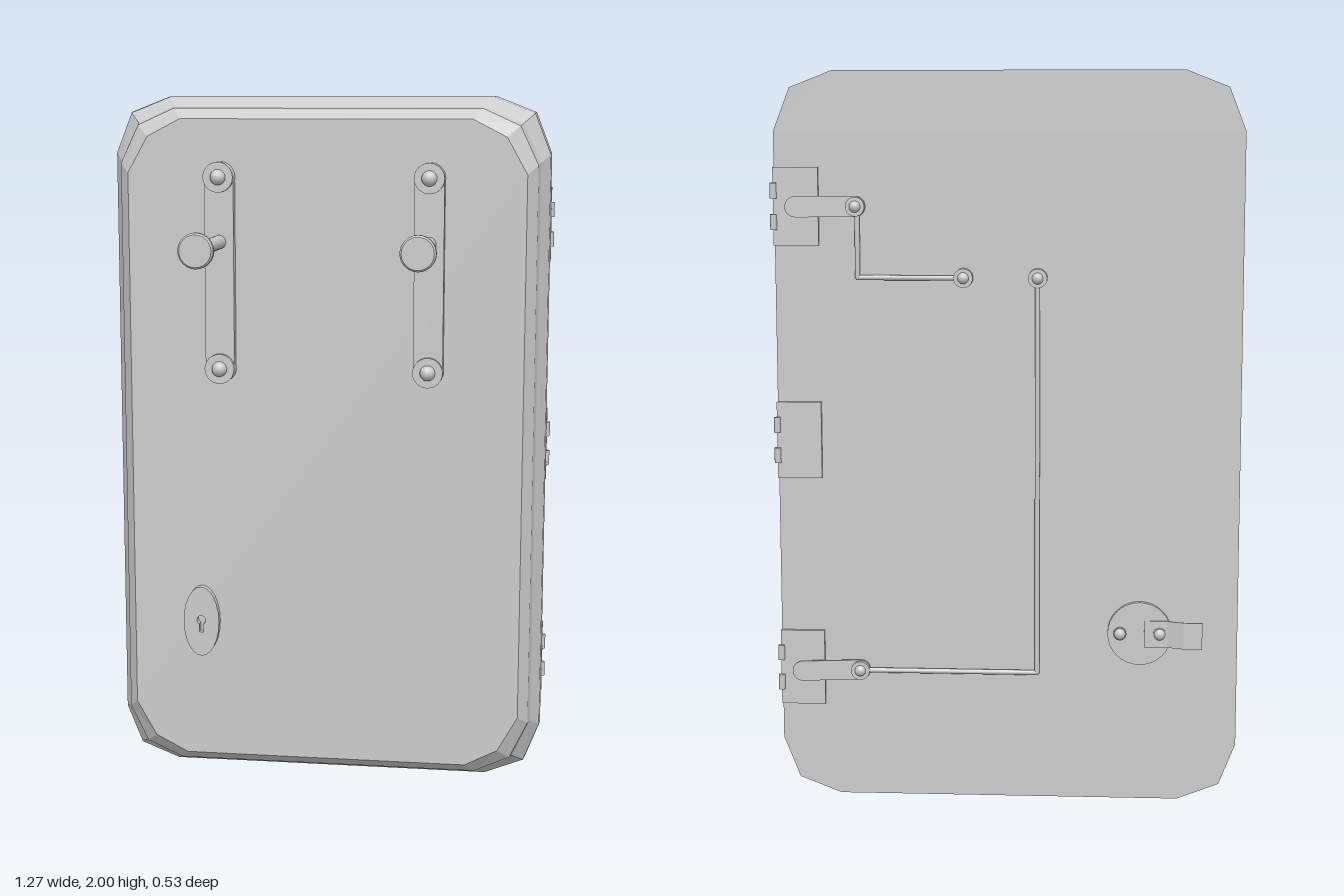
import * as THREE from 'three';

const BACK = -0.231, FRONT = -0.09;

export function createModel() {
  const model = new THREE.Group();
  const smooth = new THREE.MeshStandardMaterial({ color: 0xcccccc });
  const flat = new THREE.MeshStandardMaterial({ color: 0xcccccc, flatShading: true });

  const add = (name, geometry, x = 0, y = 0, z = 0, material = smooth, parent = model) => {
    const mesh = new THREE.Mesh(geometry, material);
    mesh.name = name;
    mesh.position.set(x, y, z);
    parent.add(mesh);
    return mesh;
  };
  // Cylinder whose axis runs along z
  const disc = (r1, r2, depth, sides = 24) =>
    new THREE.CylinderGeometry(r1, r2, depth, sides).rotateX(Math.PI / 2);
  const extrude = (shape, depth) =>
    new THREE.ExtrudeGeometry(shape, { depth, bevelEnabled: false, curveSegments: 12 });
  // Upright bar with round ends, from y = 0 to y = length
  const stadium = (r, length) => {
    const s = new THREE.Shape();
    s.absarc(0, length, r, 0, Math.PI);
    s.absarc(0, 0, r, Math.PI, Math.PI * 2);
    s.closePath();
    return s;
  };

  add('doorSlab', doorGeometry(), -0.005, 1, 0, flat);

  // Two front handles: strap, end bosses with bolts, and a long pull
  for (const x of [-0.305, 0.293]) {
    const handle = new THREE.Group();
    handle.name = 'handle';
    handle.position.set(x, 0, 0);
    model.add(handle);
    add('strap', extrude(stadium(0.042, 0.545), 0.026), 0, 1.23, FRONT, smooth, handle);
    for (const y of [1.23, 1.775]) {
      add('strapBoss', disc(0.043, 0.043, 0.04), 0, y, -0.071, smooth, handle);
      add('strapBolt', new THREE.SphereGeometry(0.022, 16, 10), 0, y, -0.051, smooth, handle);
    }
    add('pullRod', disc(0.02, 0.02, 0.28), 0, 1.592, 0.07, smooth, handle);
    add('pullCollar', disc(0.026, 0.021, 0.035), 0, 1.592, 0.222, smooth, handle);
    const knob = [[0, 0], [0.04, 0], [0.049, 0.005], [0.049, 0.019], [0.044, 0.025], [0, 0.025]]
      .map(p => new THREE.Vector2(...p));
    add('pullKnob', new THREE.LatheGeometry(knob, 24).rotateX(Math.PI / 2), 0, 1.592, 0.24, flat, handle);
  }

  // Oval keyhole plate
  const oval = new THREE.Shape();
  oval.absellipse(0, 0, 0.053, 0.105, 0, Math.PI * 2);
  const hole = new THREE.Path();
  hole.moveTo(-0.006, -0.033);
  hole.lineTo(0.006, -0.033);
  hole.lineTo(0.006, -0.008);
  hole.absarc(0, 0.004, 0.013, -1.1, Math.PI + 1.1);
  hole.lineTo(-0.006, -0.033);
  oval.holes.push(hole);
  add('keyholePlate', extrude(oval, 0.022), -0.37, 0.475, FRONT);

  // Three hinges with a pair of knuckles each
  for (const y of [1.64, 1.005, 0.365]) {
    add('hingePlate', new THREE.BoxGeometry(0.122, 0.21, 0.01), 0.566, y, -0.236, flat);
    for (const dy of [-0.042, 0.042])
      add('hingeKnuckle', new THREE.CylinderGeometry(0.009, 0.009, 0.042, 12), 0.626, y + dy, -0.242);
  }

  // Linkage pivots and the tilted levers reaching over the hinges
  const pivots = [[0.405, 1.64], [0.115, 1.45], [-0.085, 1.45], [0.405, 0.36]];
  for (const [x, y] of pivots) {
    add('pivotBoss', disc(0.026, 0.026, 0.023), x, y, -0.242);
    add('pivotBolt', new THREE.SphereGeometry(0.016, 14, 10), x, y, -0.25);
  }
  for (const [x, y] of [pivots[0], pivots[3]]) {
    const lever = extrude(stadium(0.028, 0.16), 0.006).rotateZ(-Math.PI / 2);
    add('hingeLever', lever, x, y, -0.243).rotation.y = 0.12;
  }

  // Rods with square elbows joining the pivots
  const rods = [
    [[0.4, 1.64], [0.4, 1.45], [0.115, 1.45]],
    [[-0.085, 1.45], [-0.085, 0.36], [0.405, 0.36]],
  ];
  for (const path of rods) {
    for (let i = 0; i < 2; i++) {
      const [ax, ay] = path[i], [bx, by] = path[i + 1];
      const rod = add('linkRod', new THREE.CylinderGeometry(0.007, 0.007, Math.hypot(bx - ax, by - ay), 10),
        (ax + bx) / 2, (ay + by) / 2, -0.243);
      rod.rotation.z = Math.atan2(by - ay, bx - ax) - Math.PI / 2;
    }
    add('rodElbow', new THREE.SphereGeometry(0.007, 10, 8), path[1][0], path[1][1], -0.243);
  }

  // Rear latch: round plate, two bolts and a cranked thumb lever
  add('latchPlate', disc(0.088, 0.088, 0.014, 32), -0.367, 0.475, -0.238);
  for (const x of [-0.313, -0.422]) {
    add('latchBoltBase', disc(0.018, 0.018, 0.012), x, 0.475, -0.246);
    add('latchBolt', new THREE.SphereGeometry(0.016, 14, 10), x, 0.475, -0.25);
  }
  const crank = new THREE.Shape([[-0.38, -0.244], [-0.44, -0.244], [-0.485, -0.26], [-0.538, -0.26],
    [-0.538, -0.265], [-0.487, -0.265], [-0.442, -0.249], [-0.38, -0.249]]
    .map(p => new THREE.Vector2(...p)));
  // Profile lies in x-z and is swept along y
  const crankGeometry = extrude(crank, 0.074).rotateX(Math.PI / 2);
  add('latchLever', crankGeometry, 0, 0.512, 0, flat);

  return model;
}

// Slab with cut corners, stepping inward from the back face to the front
function doorGeometry() {
  const outer = [[0.63, 0.84], [0.585, 0.955], [0.47, 1]];
  const inner = [[0.568, 0.785], [0.51, 0.888], [0.415, 0.937]];
  const layers = [[0, BACK], [0.04, -0.205], [0.45, -0.16], [0.54, -0.125], [1, FRONT]];
  const positions = [], index = [];
  for (const [t, z] of layers) {
    const corner = outer.map(([x, y], i) => [x + (inner[i][0] - x) * t, y + (inner[i][1] - y) * t]);
    const mirrored = [...corner].reverse();
    const ring = [
      ...corner,
      ...mirrored.map(([x, y]) => [-x, y]),
      ...corner.map(([x, y]) => [-x, -y]),
      ...mirrored.map(([x, y]) => [x, -y]),
    ];
    for (const [x, y] of ring) positions.push(x, y, z);
  }
  const n = 12, last = (layers.length - 1) * n;
  for (let k = 0; k < layers.length - 1; k++)
    for (let i = 0; i < n; i++) {
      const a = k * n + i, b = k * n + (i + 1) % n;
      index.push(a, b, b + n, a, b + n, a + n);
    }
  for (let i = 1; i < n - 1; i++) {
    index.push(0, i + 1, i);
    index.push(last, last + i, last + i + 1);
  }
  const g = new THREE.BufferGeometry();
  g.setAttribute('position', new THREE.Float32BufferAttribute(positions, 3));
  g.setIndex(index);
  const split = g.toNonIndexed();
  split.computeVertexNormals();
  return split;
}
